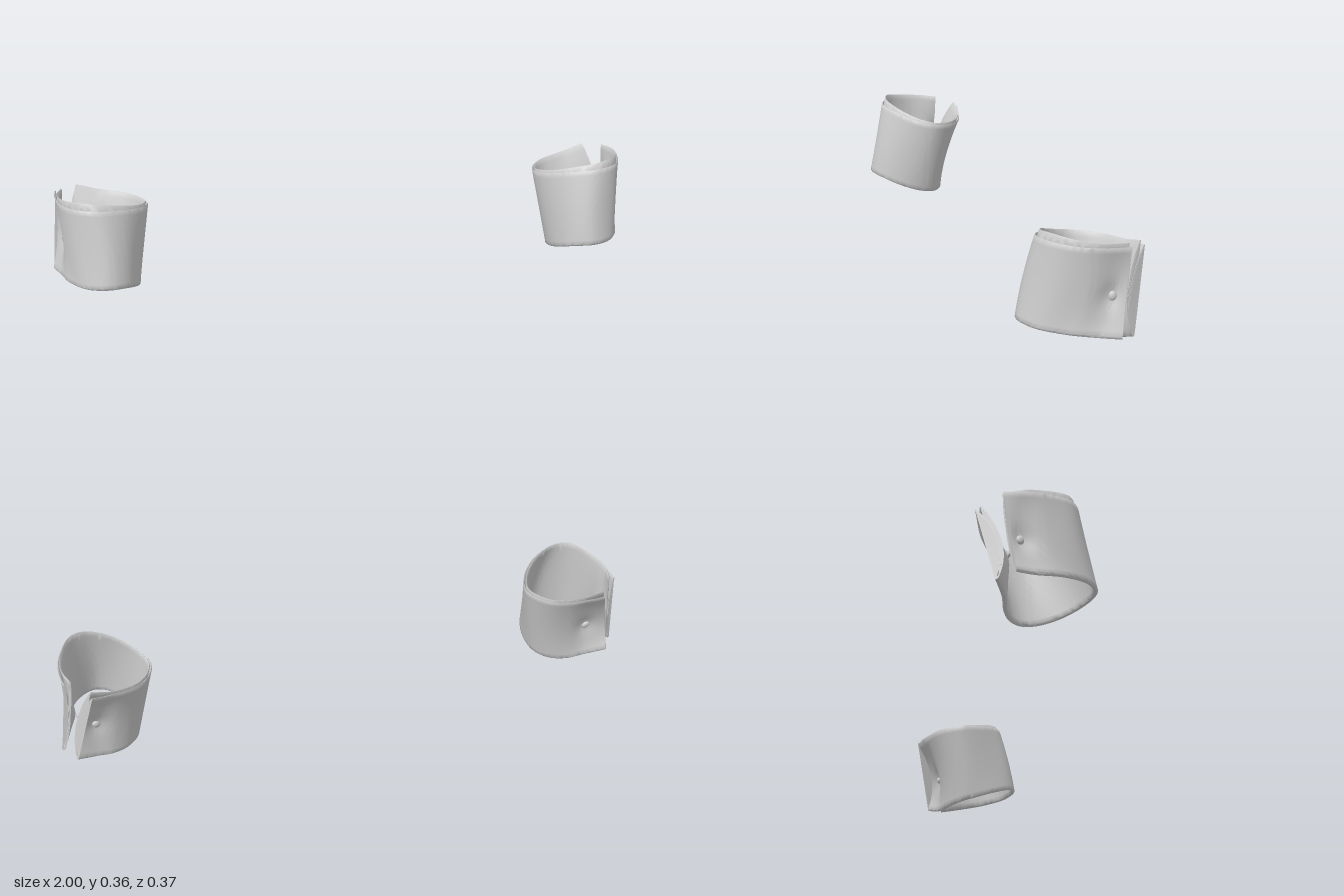
import * as THREE from 'three';
import { toCreasedNormals } from 'three/addons/utils/BufferGeometryUtils.js';

const material = new THREE.MeshStandardMaterial({ color: 0xcccccc, side: THREE.DoubleSide });
const curve = (pts) => new THREE.CatmullRomCurve3(pts.map((p) => new THREE.Vector3(...p)));

// Rings of the left cuff, from the outer flap round the front to the back flap
const bottom = curve([
  [1, .055, -.08], [.98, .06, -.02], [.955, .07, .07], [.9, .08, .155], [.83, .085, .187],
  [.765, .075, .16], [.725, .045, .09], [.72, .02, .02], [.735, .008, -.03], [.775, .002, -.07],
  [.83, .005, -.095], [.89, .02, -.11], [.955, .045, -.14]]);
const middle = curve([
  [.975, .185, -.1], [.962, .19, -.065], [.96, .195, .02], [.92, .205, .115], [.83, .21, .162],
  [.765, .2, .137], [.715, .17, .07], [.697, .15, 0], [.71, .142, -.05], [.75, .14, -.09],
  [.81, .142, -.11], [.88, .155, -.112], [.945, .17, -.128]]);
const top = curve([
  [.975, .325, -.115], [.978, .328, -.06], [.965, .333, .02], [.92, .343, .1], [.85, .343, .13],
  [.77, .33, .105], [.7, .305, .04], [.672, .29, -.03], [.69, .285, -.09], [.73, .283, -.135],
  [.785, .285, -.16], [.84, .29, -.175], [.9, .3, -.19]]);

const BUTTON_V = 0.45, BUTTON_US = [1 / 12, 11 / 12];

// Quadratic blend through the three rings
function base(u, v) {
  return bottom.getPoint(u).multiplyScalar((1 - v) * (1 - 2 * v))
    .addScaledVector(middle.getPoint(u), 4 * v * (1 - v))
    .addScaledVector(top.getPoint(u), v * (2 * v - 1));
}

function inward(u, v) {
  const e = 0.004, u0 = Math.max(0, u - e), u1 = Math.min(1, u + e);
  const du = base(u1, v).sub(base(u0, v));
  const dv = base(u, v + e).sub(base(u, v - e));
  return du.cross(dv).normalize();
}

// Point at a depth inside the outer face, with a dimple under each button
function surface(u, v, depth) {
  let d = depth;
  for (const bu of BUTTON_US) {
    d += 0.01 * Math.exp(-(((u - bu) / 0.04) ** 2) - ((v - BUTTON_V) / 0.14) ** 2);
  }
  return base(u, v).addScaledVector(inward(u, v), d);
}

// Cross-section of the folded cloth: [depth, height, 1 on the inner layer]
function foldProfile() {
  const n = 18, pts = [];
  const run = (depth, from, to, layer) => {
    for (let i = 0; i <= n; i++) pts.push([depth, from + (to - from) * i / n, layer]);
  };
  run(0, 0.02, 0.99, 0);
  pts.push([0.0025, 1, 0]);
  run(0.005, 0.99, 0.04, 0);
  run(0.008, 0.04, 0.99, 1);
  pts.push([0.0105, 1, 1]);
  run(0.013, 0.99, 0.02, 1);
  pts.push([0.010, 0.003, 1], [0.0065, -0.005, 0], [0.003, 0.003, 0]);
  return pts;
}

function clothGeometry(side) {
  const profile = foldProfile(), m = profile.length, n = 110;
  const pos = [], index = [];
  const tri = (a, b, c) => (side > 0 ? index.push(a, b, c) : index.push(a, c, b));
  for (let i = 0; i <= n; i++) {
    const u = i / n;
    // Inner layer rises above the outer at the front; layers fan apart at the flap tips
    const rise = 0.01 + 0.07 * Math.exp(-(((u - 0.3) / 0.18) ** 2));
    const tip = Math.max(0, Math.abs(u - 0.5) * 2 - 0.8) / 0.2;
    for (const [d, v, layer] of profile) {
      const spread = layer * 0.012 * tip * Math.max(0, v - 0.6) / 0.4;
      const p = surface(u, v + layer * rise * Math.max(0, v) ** 3, d + spread);
      pos.push(p.x * side, p.y, p.z);
    }
  }
  for (let i = 0; i < n; i++) {
    for (let j = 0; j < m; j++) {
      const k = (j + 1) % m, a = i * m, b = a + m;
      tri(a + j, a + k, b + j);
      tri(a + k, b + k, b + j);
    }
  }
  // Close the two flap ends
  const shape = profile.map(([d, v]) => new THREE.Vector2(d, v));
  for (const [a, b, c] of THREE.ShapeUtils.triangulateShape(shape, [])) {
    tri(a, b, c);
    tri(n * m + a, n * m + c, n * m + b);
  }
  const g = new THREE.BufferGeometry();
  g.setAttribute('position', new THREE.Float32BufferAttribute(pos, 3));
  g.setIndex(index);
  return toCreasedNormals(g, 0.9);
}

function makeCuff(side, name) {
  const cuff = new THREE.Group();
  cuff.name = name;
  const add = (geometry, partName) => {
    const mesh = new THREE.Mesh(geometry, material);
    mesh.name = partName;
    cuff.add(mesh);
    return mesh;
  };
  add(clothGeometry(side), 'foldedCuff');

  // Domed buttons on both flaps
  const flip = new THREE.Vector3(side, 1, 1);
  const ends = BUTTON_US.map((u, i) => {
    const out = inward(u, BUTTON_V).negate().multiply(flip);
    const p = surface(u, BUTTON_V, 0).multiply(flip);
    const button = add(new THREE.SphereGeometry(0.0135, 20, 14), i ? 'backButton' : 'outerButton');
    button.scale.set(0.9, 1.1, 0.6);
    button.position.copy(p).addScaledVector(out, 0.004);
    button.quaternion.setFromUnitVectors(new THREE.Vector3(0, 0, 1), out);
    return p;
  });

  // Post joining the buttons through the flaps
  add(new THREE.TubeGeometry(new THREE.LineCurve3(ends[0], ends[1]), 1, 0.004, 8), 'linkPost');
  return cuff;
}

export function createModel() {
  const model = new THREE.Group();
  model.name = 'cuffPair';
  model.add(makeCuff(1, 'leftCuff'), makeCuff(-1, 'rightCuff'));
  return model;
}
